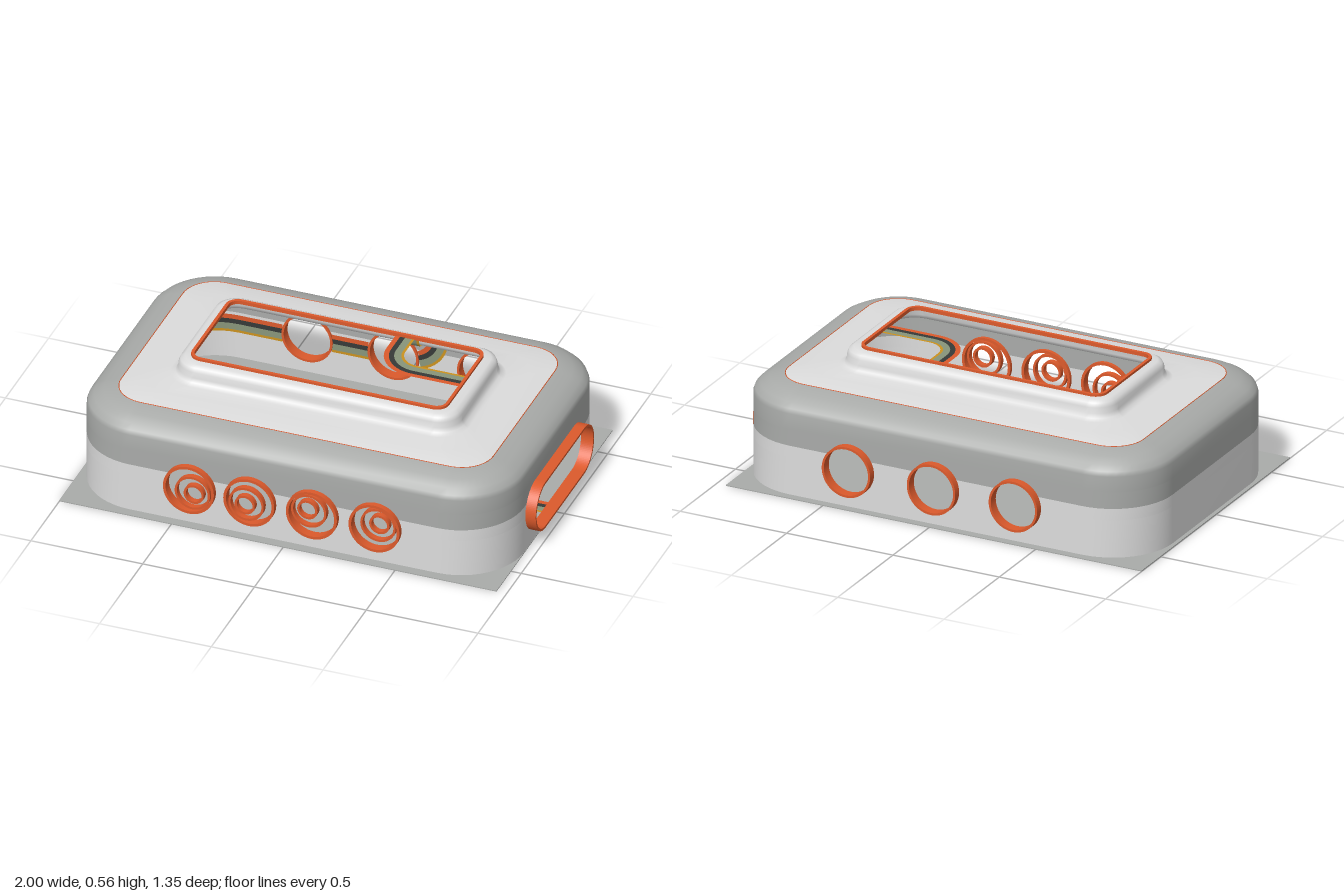
import * as THREE from 'three';

const mat = (name, color, side = THREE.DoubleSide) => new THREE.MeshStandardMaterial({ name, color, side });
const CX = -0.014, CZ = -0.006;           // centre of the shell
const HX = 0.968, HZ = 0.634, R = 0.28;   // half sizes and corner radius of the wall
const HOLE_Y = 0.173, HOLE_R = 0.11, TONE_Y = 0.225, WALL_TOP = 0.3;
const FRONT = [-0.43, -0.16, 0.12, 0.4], BACK = [-0.395, -0.01, 0.39], SLOT = 0.225;

// Upper shell cross-sections: half width, half depth, corner radius, height
const PROFILE = [
  [HX, HZ, R, WALL_TOP], [HX, HZ, R, 0.37], [HX - 0.008, HZ - 0.008, 0.27, 0.39],
  [HX - 0.03, HZ - 0.03, 0.25, 0.412], [HX - 0.07, HZ - 0.07, 0.21, 0.434], [HX - 0.135, HZ - 0.135, 0.14, 0.451],
  [0.74, 0.4, 0.13, 0.46], [0.665, 0.33, 0.13, 0.464], [0.643, 0.308, 0.11, 0.472], [0.632, 0.299, 0.1, 0.49],
  [0.63, 0.297, 0.1, 0.515], [0.622, 0.289, 0.09, 0.533], [0.605, 0.272, 0.08, 0.543], [0.568, 0.243, 0.05, 0.545],
];
const TONE_RING = 5;

// Corner points of a rounded rectangle; q picks the corner, angle runs clockwise from above
function corner(hx, hz, r, q, n = 12) {
  const sx = [-1, 1, 1, -1][q], sz = [1, 1, -1, -1][q];
  return Array.from({ length: n + 1 }, (_, k) => {
    const a = Math.PI - (q + k / n) * Math.PI / 2;
    return { x: CX + sx * (hx - r) + r * Math.cos(a), z: CZ + sz * (hz - r) + r * Math.sin(a), h: 0 };
  });
}
const loop = (hx, hz, r) => [0, 1, 2, 3].flatMap(q => corner(hx, hz, r, q));

// Offset and half height along a round or slot-shaped opening
const opening = (flat = 0) => Array.from({ length: 18 }, (_, i) => {
  const k = i < 9 ? i : i - 1, a = k * Math.PI / 16;
  return { d: (i < 9 ? flat : -flat) + HOLE_R * Math.cos(a), h: HOLE_R * Math.sin(a) };
});

function buildGeometry(positions, index) {
  const g = new THREE.BufferGeometry();
  g.setAttribute('position', new THREE.Float32BufferAttribute(positions, 3));
  g.setIndex(index);
  g.computeVertexNormals();
  return g;
}

// Vertical wall band between two heights, leaving the openings free
function wallBand(y0, y1) {
  const pts = [
    ...corner(HX, HZ, R, 0),
    ...FRONT.flatMap(c => opening().reverse().map(o => ({ x: c + o.d, z: CZ + HZ, h: o.h }))),
    ...corner(HX, HZ, R, 1),
    ...opening(SLOT).map(o => ({ x: CX + HX, z: CZ + o.d, h: o.h })),
    ...corner(HX, HZ, R, 2),
    ...[...BACK].reverse().flatMap(c => opening().map(o => ({ x: c + o.d, z: CZ - HZ, h: o.h }))),
    ...corner(HX, HZ, R, 3),
  ];
  const pos = [], idx = [], n = pts.length;
  const clamp = y => Math.min(y1, Math.max(y0, y));
  for (const [lo, hi] of [[() => y0, p => clamp(HOLE_Y - p.h)], [p => clamp(HOLE_Y + p.h), () => y1]]) {
    const base = pos.length / 3;
    for (const p of pts) pos.push(p.x, lo(p), p.z, p.x, hi(p), p.z);
    for (let i = 0; i < n; i++) {
      const a = base + 2 * i, b = base + 2 * ((i + 1) % n);
      idx.push(a, b, b + 1, a, b + 1, a + 1);
    }
  }
  return buildGeometry(pos, idx);
}

// Domed top, raised step and window edge as one smooth loft in two tones
function upperShell() {
  const rings = PROFILE.map(([hx, hz, r, y]) => loop(hx, hz, r).map(p => [p.x, y, p.z]));
  const n = rings[0].length, idx = [];
  for (let j = 0; j < rings.length - 1; j++)
    for (let i = 0; i < n; i++) {
      const a = j * n + i, b = j * n + (i + 1) % n;
      idx.push(a, b, b + n, a, b + n, a + n);
    }
  const g = buildGeometry(rings.flat(2), idx);
  g.addGroup(0, TONE_RING * n * 6, 0);
  g.addGroup(TONE_RING * n * 6, idx.length - TONE_RING * n * 6, 1);
  return g;
}

// Rounded outline and hollow collar
function outline(T, hx, hy, r) {
  const s = new T();
  [[1, 1], [-1, 1], [-1, -1], [1, -1]].forEach(([sx, sy], q) =>
    s.absarc(sx * (hx - r), sy * (hy - r), r, q * Math.PI / 2, (q + 1) * Math.PI / 2, false));
  s.closePath();
  return s;
}
function collar(hx, hy, r, t, depth) {
  const s = outline(THREE.Shape, hx, hy, r);
  s.holes.push(outline(THREE.Path, hx - t, hy - t, r - t));
  return new THREE.ExtrudeGeometry(s, { depth, bevelEnabled: false, curveSegments: 12 });
}

// Stripe routes: each sample is [point, direction towards the first stripe]
function stripeRoutes() {
  const line = (a, b, s, n = 1) => Array.from({ length: n + 1 }, (_, k) => [a.map((v, i) => v + (b[i] - v) * k / n), s]);
  const arc = f => Array.from({ length: 17 }, (_, k) => f(Math.cos(k * Math.PI / 32), Math.sin(k * Math.PI / 32)));
  const r = 0.1275, wx = CX - HX + 0.005, wz = CZ - HZ + 0.005, y = 0.1725;
  const up = [0, 1, 0], front = [0, 0, 1], left = [-1, 0, 0];
  const overTop = PROFILE.map(([hx, hz, , h]) => [hx - 0.005, hz - 0.005, h - 0.004]);
  const wall = [
    [[wx, 0.005, -0.003], front],
    ...arc((c, s) => [[wx, 0.045 + r * s, -0.13 + r * c], [0, s, c]]),
    ...corner(HX - 0.005, HZ - 0.005, R - 0.005, 3).reverse().map(p => [[p.x, y, p.z], up]),
    ...line([CX - HX + R, y, wz], [0.065, y, wz], up, 90),
    ...arc((c, s) => [[0.065 + r * s, 0.3 - r * c, wz], [-s, c, 0]]),
    ...overTop.map(([, hz, h]) => [[0.1925, h, CZ - hz], left]),
    ...arc((c, s) => [[0.32 - r * c, 0.541, -0.14 + r * s], [-c, 0, s]]),
    ...[...overTop].reverse().map(([hx, , h]) => [[CX + hx, h, -0.0125], front]),
  ];
  const endWall = line([CX + HX - 0.005, 0.062, -0.0125], [CX + HX - 0.005, 0.006, -0.0125], front);
  const floor = line([0.945, 0.008, -0.005], [-0.975, 0.008, -0.005], [0, 0, -1]);
  return [wall, endWall, floor];
}
function ribbon(routes, a, b) {
  const pos = [], idx = [];
  const inHole = p => p[2] < -0.62 && BACK.some(c => Math.hypot(p[0] - c, p[1] - HOLE_Y) < HOLE_R);
  for (const route of routes) {
    const base = pos.length / 3;
    const at = ([p, s], o) => p.map((v, i) => v + s[i] * o);
    route.forEach(q => pos.push(...at(q, a), ...at(q, b)));
    for (let i = 0; i < route.length - 1; i++) {
      const k = base + 2 * i, m = (a + b) / 2;
      if (!inHole(at(route[i], m)) && !inHole(at(route[i + 1], m))) idx.push(k, k + 1, k + 3, k, k + 3, k + 2);
    }
  }
  return buildGeometry(pos, idx);
}

export function createModel() {
  const model = new THREE.Group();
  const shell = mat('light shell', 0xdcdcdc), grey = mat('mid grey', 0xa9aba9);
  const orange = mat('orange', 0xdc5a2c), dark = mat('charcoal', 0x363a38);
  const green = mat('sage green', 0x88957a), yellow = mat('ochre', 0xcb921f);
  const add = (name, geometry, material, x = 0, y = 0, z = 0) => {
    const m = new THREE.Mesh(geometry, material);
    m.name = name;
    m.position.set(x, y, z);
    model.add(m);
    return m;
  };

  // Base and shell
  add('basePlate', new THREE.BoxGeometry(1.955, 0.004, 1.345), grey, -0.0225, 0.002, -0.0025);
  add('lowerWall', wallBand(0.004, TONE_Y), shell);
  add('upperWall', wallBand(TONE_Y, WALL_TOP), grey);
  add('top', upperShell(), [grey, shell]);

  // Thin seam where the two tones meet
  const [sx, sz, sr, sy] = PROFILE[TONE_RING];
  const seam = new THREE.CurvePath();
  const seamPts = loop(sx, sz, sr).map(p => new THREE.Vector3(p.x, sy, p.z));
  seamPts.forEach((p, i) => {
    const q = seamPts[(i + 1) % seamPts.length];
    if (p.distanceTo(q) > 1e-6) seam.add(new THREE.LineCurve3(p, q));
  });
  add('seam', new THREE.TubeGeometry(seam, 240, 0.002, 5, true), orange);

  // Window frame on the raised step
  add('windowFrame', collar(0.575, 0.249, 0.055, 0.014, 0.016), orange, CX - 0.004, 0.539, CZ - 0.001).rotation.x = -Math.PI / 2;

  // Front portholes with off-centre inner rings
  FRONT.forEach((x, i) => {
    const ox = [1, -1, -1, 1][i], oy = i < 2 ? -1 : 1;
    add('frontPorthole', collar(0.114, 0.114, 0.114, 0.012, 0.04), orange, x, HOLE_Y, 0.612);
    add('frontMiddleRing', collar(0.079, 0.079, 0.079, 0.01, 0.025), orange, x + 0.015 * ox, HOLE_Y + 0.015 * oy, 0.62);
    add('frontInnerRing', collar(0.045, 0.045, 0.045, 0.01, 0.025), orange, x + 0.021 * ox, HOLE_Y + 0.02 * oy, 0.62);
  });

  // Back portholes and end slot
  for (const x of BACK) add('backPorthole', collar(0.114, 0.114, 0.114, 0.01, 0.045), orange, x, HOLE_Y, -0.675);
  add('endSlot', collar(SLOT + 0.113, 0.113, 0.113, 0.01, 0.055), orange, 0.945, HOLE_Y, CZ).rotation.y = Math.PI / 2;

  // Four-colour stripe running around the shell
  const routes = stripeRoutes();
  [['orangeStripe', orange, 0.0425, 0.021], ['charcoalStripe', dark, 0.021, -0.001],
    ['greenStripe', green, -0.001, -0.031], ['ochreStripe', yellow, -0.031, -0.0425]]
    .forEach(([name, m, a, b]) => add(name, ribbon(routes, a, b), m));
  return model;
}
